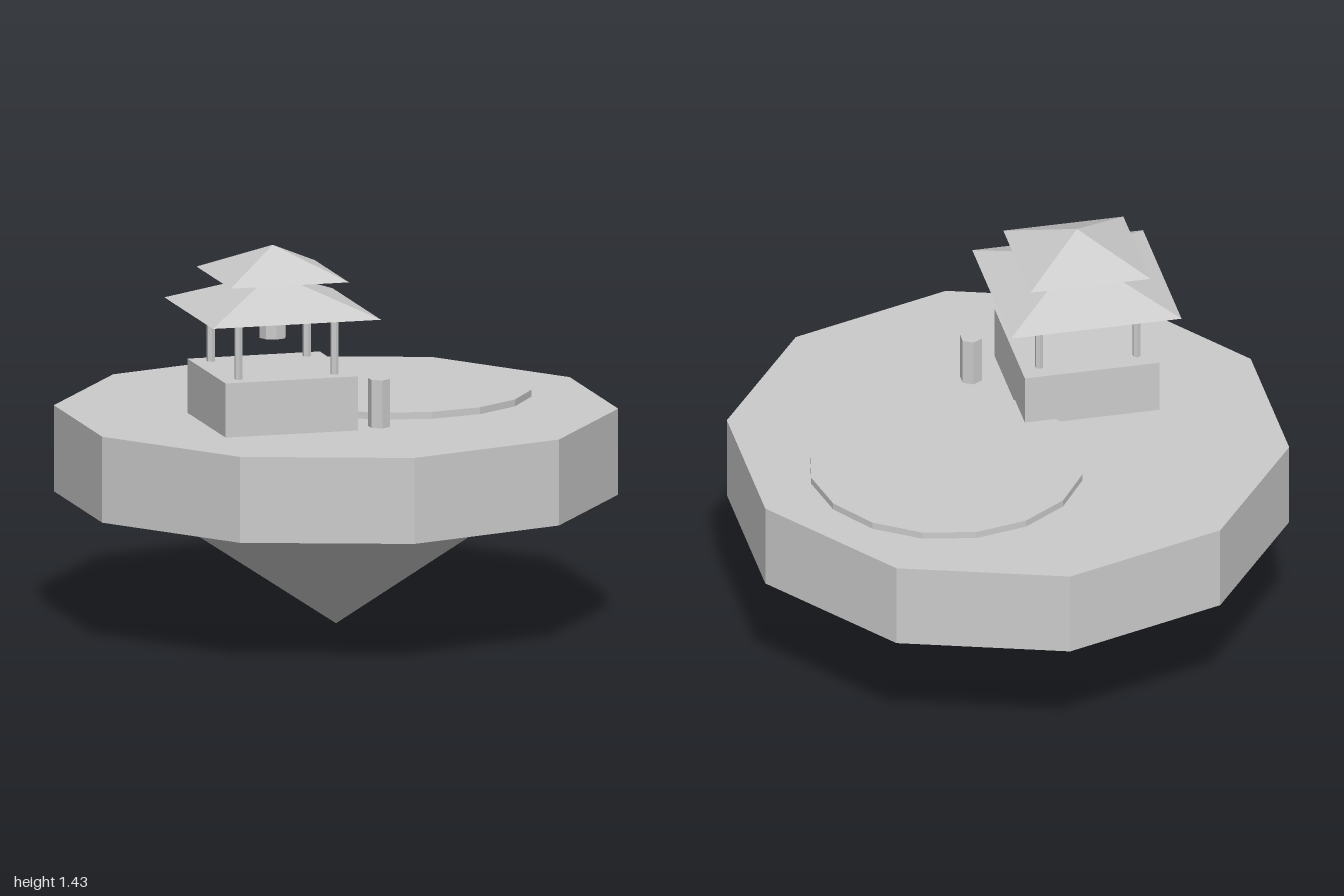
import * as THREE from 'three';

export function createModel() {
  const model = new THREE.Group();
  const material = new THREE.MeshStandardMaterial({
    color: 0xcccccc, flatShading: true, side: THREE.DoubleSide,
  });

  const add = (parent, name, geometry, x, y, z) => {
    const mesh = new THREE.Mesh(geometry, material);
    mesh.name = name;
    mesh.position.set(x, y, z);
    parent.add(mesh);
    return mesh;
  };
  // Upright prism standing on height y0
  const prism = (parent, name, r, sides, y0, y1, x = 0, z = 0) =>
    add(parent, name, new THREE.CylinderGeometry(r, r, y1 - y0, sides), x, (y0 + y1) / 2, z);

  // Floating island: ten-sided slab over an eight-sided rock point
  prism(model, 'islandGround', 1, 10, 0.47, 0.78);
  const rock = new THREE.ConeGeometry(0.7, 0.47, 8).rotateX(Math.PI);
  add(model, 'islandRock', rock, 0, 0.235, 0);

  // Shallow round pond and a small post beside it
  prism(model, 'pond', 0.49, 16, 0.775, 0.805, 0.265, -0.18);
  prism(model, 'gardenPost', 0.04, 6, 0.775, 0.953, 0.045, 0.395);

  // Pavilion
  const pavilion = new THREE.Group();
  pavilion.name = 'pavilion';
  pavilion.position.set(-0.31, 0, 0.265);
  model.add(pavilion);

  add(pavilion, 'pavilionBase', new THREE.BoxGeometry(0.488, 0.195, 0.488), 0, 0.89, 0);
  for (const sx of [-1, 1]) {
    for (const sz of [-1, 1]) {
      prism(pavilion, 'pillar', 0.015, 6, 0.98, 1.205, sx * 0.177, sz * 0.177);
    }
  }
  prism(pavilion, 'hangingBell', 0.049, 8, 1.097, 1.172);

  // Two stacked pyramid roofs with sides square to the base
  const roof = (name, half, y0, y1) => {
    const geometry = new THREE.ConeGeometry(half * Math.SQRT2, y1 - y0, 4).rotateY(Math.PI / 4);
    add(pavilion, name, geometry, 0, (y0 + y1) / 2, 0);
  };
  roof('lowerRoof', 0.31, 1.2, 1.33);
  roof('upperRoof', 0.218, 1.323, 1.43);

  return model;
}
